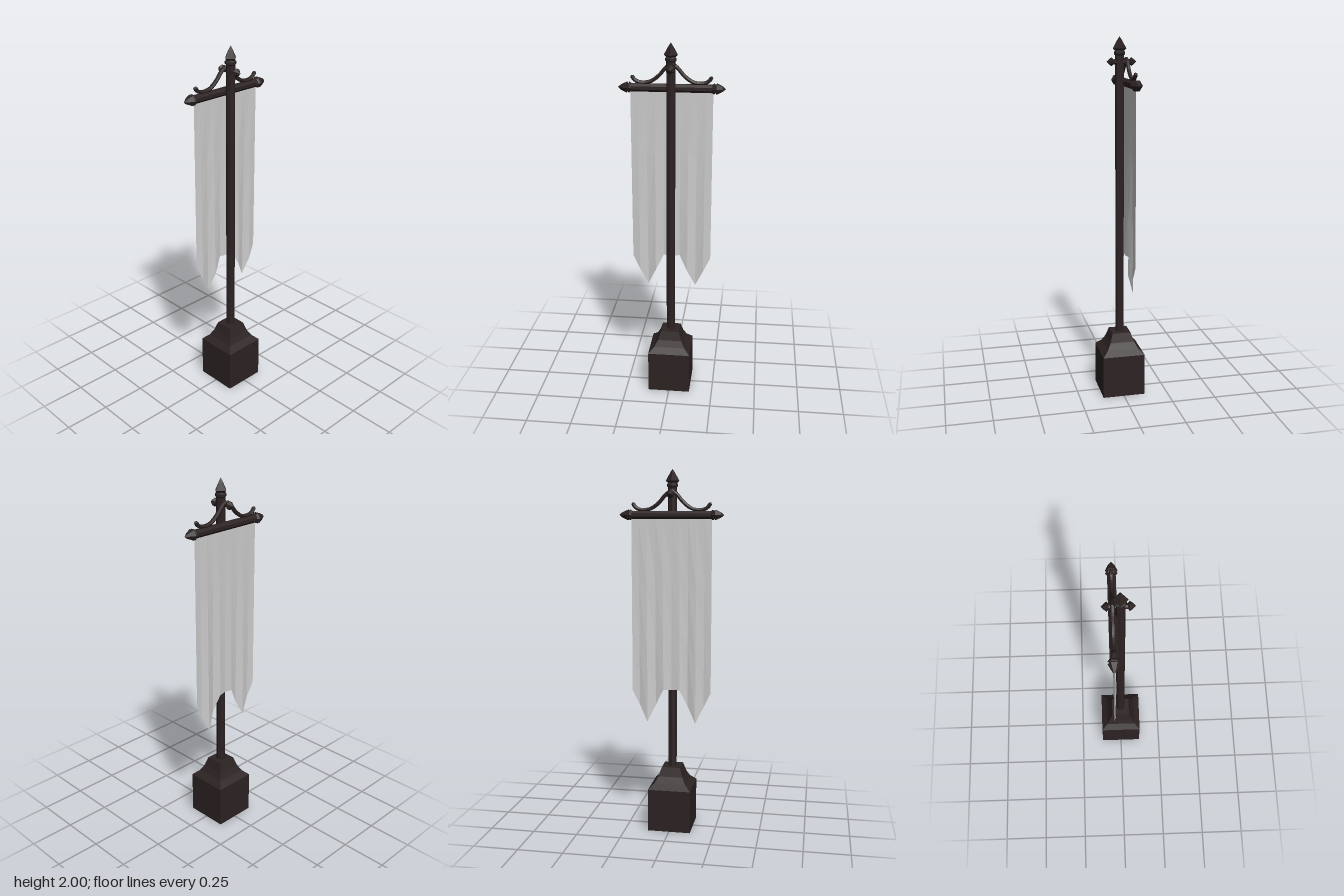
import * as THREE from 'three';

export function createModel() {
  const group = new THREE.Group();
  const iron = new THREE.MeshStandardMaterial({ color: 0x2d2323, flatShading: true });
  iron.name = 'darkIron';
  const cloth = new THREE.MeshStandardMaterial({ color: 0xcccccc, flatShading: true, side: THREE.DoubleSide });
  cloth.name = 'greyCloth';
  const BAR_Z = -0.036, BAR_Y = 1.758;

  const add = (name, geometry, material = iron) => {
    const mesh = new THREE.Mesh(geometry, material);
    mesh.name = name;
    group.add(mesh);
    return mesh;
  };
  // Faceted turned part from [radius, height] pairs, bottom to top
  const turned = (profile, sides, start = 0) =>
    new THREE.LatheGeometry(profile.map(([r, y]) => new THREE.Vector2(r, y)), sides, start);

  // Square plinth with a concave shoulder
  const plinth = [[0, 0], [0.119, 0], [0.119, 0.24], [0.087, 0.27], [0.068, 0.305], [0.052, 0.356], [0, 0.356]];
  add('base', turned(plinth.map(([r, y]) => [r * Math.SQRT2, y]), 4, Math.PI / 4));

  // Upright pole and its pointed finial
  const pole = add('pole', new THREE.CylinderGeometry(0.024, 0.024, 1.56, 8));
  pole.position.y = 1.13;
  add('poleCollar', turned([[0.022, 1.9], [0.03, 1.908], [0.03, 1.92], [0.02, 1.928]], 8));
  add('poleFinial', turned([[0.02, 1.922], [0.037, 1.937], [0.016, 1.975], [0, 2]], 4));

  // Crossbar carried behind the pole
  const bar = add('crossbar', new THREE.CylinderGeometry(0.0225, 0.0225, 0.43, 8, 1, false, Math.PI / 8));
  bar.rotation.z = Math.PI / 2;
  bar.position.set(0, BAR_Y, BAR_Z);

  const barTip = [[0.022, 0], [0.031, 0.012], [0.022, 0.019], [0.031, 0.024], [0.016, 0.054], [0, 0.072]];
  const ribbon = [[0, 1.885], [0.028, 1.867], [0.07, 1.82], [0.115, 1.79], [0.165, 1.785], [0.195, 1.797], [0.208, 1.815]];
  for (const side of [1, -1]) {
    const label = side > 0 ? 'left' : 'right';
    const tip = add(label + 'CrossbarTip', turned(barTip, 6));
    tip.rotation.z = -side * Math.PI / 2;
    tip.position.set(side * 0.213, BAR_Y, BAR_Z);

    // Curved brace: a square bar swept along a sagging curve
    const curve = new THREE.CatmullRomCurve3(
      ribbon.map(([x, y]) => new THREE.Vector3(side * x, y, BAR_Z)));
    add(label + 'Brace', new THREE.TubeGeometry(curve, 16, 0.011, 6));
    const curl = add(label + 'BraceEnd', new THREE.IcosahedronGeometry(0.011, 0));
    curl.position.set(side * 0.208, 1.813, BAR_Z);
  }

  // Pin through the pole with a spearhead at each end
  const pin = add('pin', new THREE.CylinderGeometry(0.013, 0.013, 0.11, 6));
  pin.rotation.x = Math.PI / 2;
  pin.position.set(0, 1.868, -0.01);
  const pinTip = [[0.012, 0], [0.024, 0.01], [0.011, 0.027], [0, 0.038]];
  for (const side of [1, -1]) {
    const tip = add(side > 0 ? 'frontPinTip' : 'backPinTip', turned(pinTip, 6));
    tip.rotation.x = side * Math.PI / 2;
    tip.position.set(0, 1.868, side > 0 ? 0.033 : -0.053);
  }
  // Bracket tying the crossbar to the pole
  const bracket = add('bracket', new THREE.BoxGeometry(0.03, 0.04, 0.036));
  bracket.position.set(0, BAR_Y, -0.02);

  // Swallow-tailed banner: [x, bottom y, bottom z] along the hem, pleats deepening downward
  const hem = [
    [-0.22, 0.79, -0.041], [-0.18, 0.708, -0.033], [-0.135, 0.615, -0.044], [-0.09, 0.708, -0.028],
    [-0.045, 0.8, -0.04], [0, 0.8, -0.032], [0.045, 0.8, -0.042], [0.09, 0.708, -0.028],
    [0.135, 0.615, -0.046], [0.18, 0.708, -0.032], [0.22, 0.79, -0.038],
  ];
  const rows = 3, positions = [], index = [];
  hem.forEach(([x, y, z], i) => {
    for (let r = 0; r <= rows; r++) {
      const t = r / rows;
      positions.push(x, THREE.MathUtils.lerp(1.745, y, t), THREE.MathUtils.lerp(BAR_Z, z, t));
      if (i && r) {
        const b = i * (rows + 1) + r, a = b - rows - 1;
        index.push(a - 1, a, b - 1, a, b, b - 1);
      }
    }
  });
  const banner = new THREE.BufferGeometry();
  banner.setAttribute('position', new THREE.Float32BufferAttribute(positions, 3));
  banner.setIndex(index);
  banner.computeVertexNormals();
  add('banner', banner, cloth);

  return group;
}
